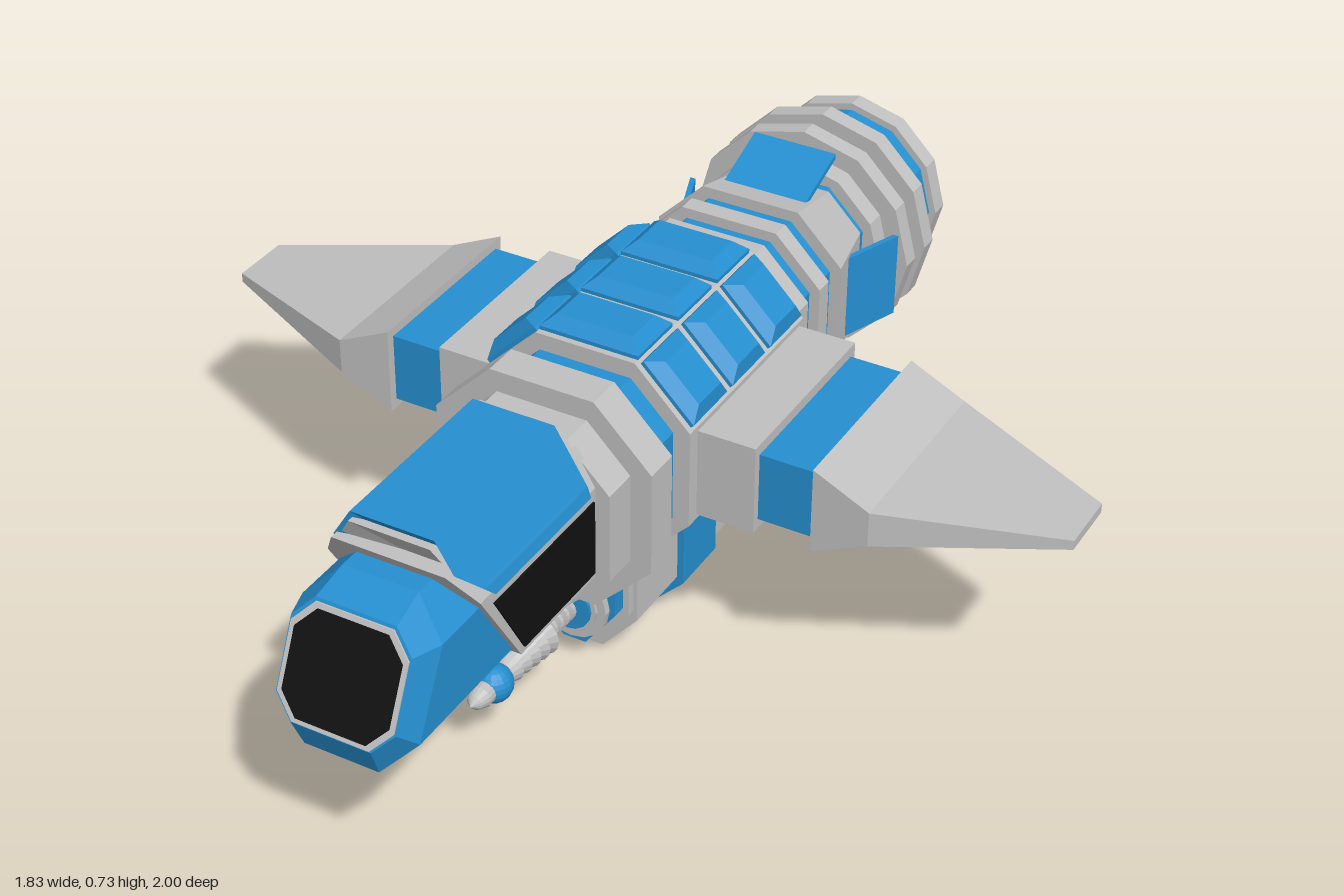
import * as THREE from 'three';

const make = (color) => new THREE.MeshStandardMaterial({ color, flatShading: true, side: THREE.DoubleSide });

// Skins a list of matching convex cross-sections of [x, y, z] points and caps both ends
function loft(sections) {
  const pos = [];
  const tri = (...pts) => pts.forEach((p) => pos.push(...p));
  const n = sections[0].length;
  for (let s = 0; s < sections.length - 1; s++) {
    const a = sections[s], b = sections[s + 1];
    for (let i = 0; i < n; i++) {
      const j = (i + 1) % n;
      tri(a[i], a[j], b[j]);
      tri(a[i], b[j], b[i]);
    }
  }
  const first = sections[0], last = sections[sections.length - 1];
  for (let i = 1; i < n - 1; i++) {
    tri(first[0], first[i + 1], first[i]);
    tri(last[0], last[i], last[i + 1]);
  }
  const g = new THREE.BufferGeometry();
  g.setAttribute('position', new THREE.Float32BufferAttribute(pos, 3));
  g.computeVertexNormals();
  return g;
}

// Mirrors the right-hand half of an outline (listed bottom to top) into a full one
const mirror = (half) => [...half, ...half.slice().reverse().map(([x, y]) => [-x, y])];
// Outline of a box with chamfered corners
const oct = (hw, y0, y1, c) => mirror([[hw - c, y0], [hw, y0 + c], [hw, y1 - c], [hw - c, y1]]);
// Puts an outline at a depth, either a number or a rule of y
const at = (outline, z) => outline.map(([x, y]) => [x, y, typeof z === 'function' ? z(y) : z]);
const slab = (outline, z0, z1) => loft([at(outline, z0), at(outline, z1)]);
const rect = (w, h) => [[-w, -h], [w, -h], [w, h], [-w, h]];

export function createModel() {
  const root = new THREE.Group();
  const grey = make(0xc0c0c0), blue = make(0x258fd0), black = make(0x111111);
  grey.name = 'hull grey';
  blue.name = 'panel blue';
  black.name = 'window black';

  const add = (name, geo, mat, parent = root) => {
    const m = new THREE.Mesh(geo, mat);
    m.name = name;
    parent.add(m);
    return m;
  };
  const AXIS = 0.475;
  const hull = (name, mat, z0, z1, r, c) => add(name, slab(oct(r, AXIS - r, AXIS + r, c), z0, z1), mat);

  // Nose with slanted front
  const slant = (y) => 0.995 - (y - 0.41) * 0.472;
  add('nose', loft([
    at(oct(0.15, 0.31, 0.62, 0.07), 0.38),
    at(oct(0.142, 0.33, 0.62, 0.065), 0.6),
    at(oct(0.142, 0.33, 0.62, 0.065), (y) => 0.975 - (y - 0.33) * 0.5),
    at(oct(0.122, 0.395, 0.6, 0.04), slant),
  ]), blue);
  add('windscreenFrame', loft([
    at(oct(0.119, 0.398, 0.594, 0.04), (y) => slant(y) - 0.002),
    at(oct(0.119, 0.398, 0.594, 0.04), (y) => slant(y) + 0.003),
  ]), grey);
  add('windscreen', loft([
    at(oct(0.109, 0.407, 0.585, 0.037), slant),
    at(oct(0.109, 0.407, 0.585, 0.037), (y) => slant(y) + 0.006),
  ]), black);

  // Cockpit frame, canopy and side windows
  const frame = mirror([[0.156, 0.383], [0.156, 0.58], [0.115, 0.648]]);
  add('cockpitFrame', loft([at(frame, 0.37), at(frame, (y) => 0.64 + (y - 0.383) * 0.63)]), grey);
  const canopy = mirror([[0.159, 0.572], [0.152, 0.594], [0.122, 0.643], [0.085, 0.703]]);
  add('canopy', loft([at(canopy, 0.4), at(canopy, (y) => Math.min(0.79, 0.72 + (y - 0.572)))]), blue);
  const lip = mirror([[0.14, 0.59], [0.12, 0.63], [0.082, 0.69]]);
  add('canopyLip', loft([at(lip, 0.38), at(lip, (y) => Math.min(0.8, 0.74 + (y - 0.59)))]), grey);
  const pane = [[0.388, 0.396], [0.632, 0.396], [0.725, 0.555], [0.388, 0.555]];
  for (const s of [-1, 1]) {
    const ends = [-0.003, 0.004].map((t) => pane.map(([z, y]) => [s * 0.156 + t, y, z]).reverse());
    add(s > 0 ? 'leftWindow' : 'rightWindow', loft(ends), black);
  }

  // Fuselage from cockpit to engine
  hull('cockpitCollar', grey, 0.305, 0.38, 0.185, 0.09);
  hull('frontRing', grey, 0.23, 0.305, 0.229, 0.12);
  hull('frontBand', blue, 0.14, 0.23, 0.187, 0.09);
  hull('midFuselage', grey, -0.305, 0.15, 0.222, 0.117);
  hull('neckCore', blue, -0.51, -0.3, 0.183, 0.09);
  hull('neckRingFront', grey, -0.36, -0.305, 0.205, 0.1);
  hull('neckRingRear', grey, -0.45, -0.41, 0.205, 0.1);
  hull('engineNeck', blue, -0.7, -0.5, 0.163, 0.08);
  add('taperedCollar', loft([
    at(oct(0.172, AXIS - 0.172, AXIS + 0.172, 0.075), -0.66),
    at(oct(0.207, AXIS - 0.207, AXIS + 0.207, 0.1), -0.5),
  ]), grey);

  // Nine bevelled roof panels
  const tiles = [[0, 0, 0.105, 0.222], [-1, -Math.PI / 4, 0.075, 0.2315], [1, Math.PI / 4, 0.075, 0.2315]];
  for (const [, angle, w, d] of tiles) {
    const g = loft([at(rect(w, 0.065), -0.012), at(rect(w, 0.065), 0.008), at(rect(w - 0.025, 0.042), 0.03)]);
    g.rotateX(-Math.PI / 2);
    for (const z of [0.072, -0.08, -0.232]) {
      const m = add('roofPanel', g, blue);
      m.position.set(Math.sin(angle) * d, AXIS + Math.cos(angle) * d, z);
      m.rotation.z = -angle;
    }
  }

  // Four flared flaps round the engine neck
  for (let i = 0; i < 4; i++) {
    const g = loft([at(rect(0.092, 0.006), 0).map(([x, y]) => [x, y + 0.235, -0.695]),
      rect(0.092, 0.006).map(([x, y]) => [x, y + 0.183, -0.555])]);
    const m = add('neckFlap', g, blue);
    m.position.y = AXIS;
    m.rotation.z = i * Math.PI / 2;
  }

  // Hollow engine of stacked twelve-sided rings
  const ring = (name, mat, z0, z1, r, inner = 0.172) => {
    const pts = [[inner, z0], [r, z0], [r, z1], [inner, z1], [inner, z0]].map((p) => new THREE.Vector2(...p));
    const g = new THREE.LatheGeometry(pts, 12).rotateX(Math.PI / 2);
    add(name, g.toNonIndexed(), mat).position.y = AXIS;
  };
  ring('engineBase', grey, -0.735, -0.69, 0.207, 0.01);
  ring('engineFlangeFront', grey, -0.775, -0.735, 0.247);
  ring('engineBandFront', blue, -0.82, -0.775, 0.205);
  ring('engineFlangeRear', grey, -0.86, -0.82, 0.247);
  ring('engineSleeve', grey, -0.91, -0.86, 0.207);
  ring('engineBandRear', blue, -0.96, -0.91, 0.192);
  ring('nozzleRim', grey, -1, -0.96, 0.207);
  ring('nozzleLiner', grey, -0.995, -0.72, 0.176, 0.168);

  // Wings, built along +x and turned round for the other side
  const span = (list) => loft(list.map(([x, h, d]) => rect(h, d).map(([y, z]) => [x, y, z])));
  for (const side of ['left', 'right']) {
    const wing = new THREE.Group();
    wing.name = side + 'Wing';
    wing.position.set(0, AXIS, -0.085);
    wing.rotation.y = side === 'left' ? 0 : Math.PI;
    add('wingRoot', span([[0.18, 0.095, 0.205], [0.342, 0.095, 0.205]]), grey, wing);
    add('wingBand', span([[0.33, 0.073, 0.188], [0.47, 0.073, 0.188]]), blue, wing);
    add('wingBlade', span([[0.46, 0.092, 0.207], [0.575, 0.037, 0.207], [0.915, 0.01, 0.065]]), grey, wing);
    root.add(wing);
  }

  // Belly pod with its wrapped band
  const pod = (hw, y0, y1, foot) => mirror([[foot, y0], [hw, y0 + 0.09], [hw, y1]]);
  add('bellyPod', slab(pod(0.112, 0.013, 0.3, 0.035), -0.305, 0.15), grey);
  add('podBand', slab(pod(0.125, 0, 0.3, 0.035), -0.145, -0.01), blue);
  add('bellyBand', slab(mirror([[0.11, 0.237], [0.238, 0.365], [0.225, 0.378]]), -0.145, -0.01), blue);
  add('podFrontFrame', slab(pod(0.104, 0.035, 0.235, 0.03), 0.14, 0.17), grey);
  add('podFrontPlate', slab(pod(0.092, 0.05, 0.225, 0.025), 0.16, 0.2), blue);

  // Gun: mount, ribbed barrel, ball and tip
  const lathe = (name, pts, mat) => {
    const g = new THREE.LatheGeometry(pts.map((p) => new THREE.Vector2(...p)), 16).rotateX(Math.PI / 2);
    add(name, g, mat).position.y = 0.148;
  };
  lathe('gunMount', [[0, 0.19], [0.08, 0.19], [0.08, 0.215], [0.062, 0.215], [0.062, 0.222], [0, 0.222]], grey);
  lathe('gunMountRing', [[0.045, 0.215], [0.052, 0.215], [0.052, 0.228], [0, 0.228]], blue);
  const barrel = [[0.014, 0.22]];
  for (let i = 0; i < 4; i++) {
    const z = 0.23 + i * 0.022;
    barrel.push([0.014, z], [0.026, z + 0.004], [0.026, z + 0.012], [0.014, z + 0.016]);
  }
  for (let i = 0; i < 5; i++) {
    const z = 0.325 + i * 0.027, r = 0.044 - i * 0.003;
    barrel.push([0.02, z], [r, z + 0.004], [0.024, z + 0.027]);
  }
  barrel.push([0.015, 0.465], [0.015, 0.49]);
  lathe('gunBarrel', barrel, grey);
  const ball = add('gunBall', new THREE.SphereGeometry(0.039, 16, 12), blue);
  ball.position.set(0, 0.148, 0.493);
  lathe('gunTip', [[0.024, 0.52], [0.024, 0.54], [0.016, 0.56], [0, 0.575]], grey);

  return root;
}
